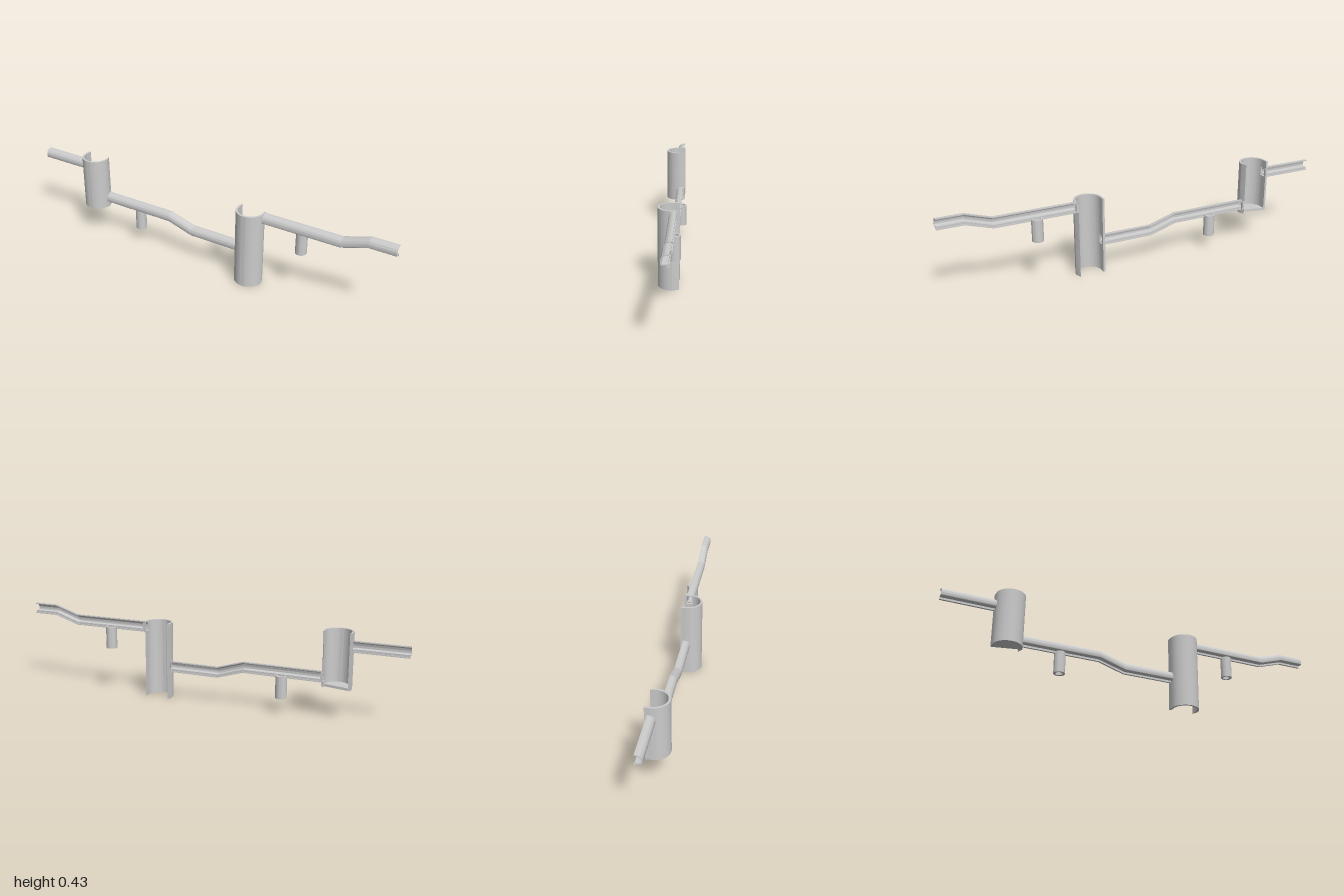
import * as THREE from 'three';
import { toCreasedNormals } from 'three/addons/utils/BufferGeometryUtils.js';

const material = new THREE.MeshStandardMaterial({ color: 0xcccccc });

function addMesh(parent, geometry, name) {
  const mesh = new THREE.Mesh(toCreasedNormals(geometry, 0.5), material);
  mesh.name = name;
  parent.add(mesh);
}

// Gutter cross-section, open to the back; drawn in (-z, y)
function gutterShape() {
  const s = new THREE.Shape();
  s.moveTo(0.03, 0.0275);
  s.lineTo(0.0225, 0.0275);
  s.absarc(0.0225, 0, 0.0275, Math.PI / 2, Math.PI, false);
  s.lineTo(-0.005, -0.01);
  s.quadraticCurveTo(-0.005, -0.0175, 0.002, -0.0175);
  s.lineTo(0.02, -0.0175);
  s.lineTo(0.02, -0.0275);
  s.lineTo(0.03, -0.0275);
  s.lineTo(0.03, -0.0225);
  s.lineTo(0.025, -0.0225);
  s.lineTo(0.025, -0.0125);
  s.lineTo(0.004, -0.0125);
  s.quadraticCurveTo(0, -0.0125, 0, -0.009);
  s.lineTo(0, 0);
  s.absarc(0.0225, 0, 0.0225, Math.PI, Math.PI / 2, true);
  s.lineTo(0.03, 0.0225);
  return s;
}

// Gutter along a path of [x, y] points, sheared to climb on sloping runs
function addGutter(parent, path, name) {
  const group = new THREE.Group();
  group.name = name;
  for (let i = 0; i < path.length - 1; i++) {
    const [x0, y0] = path[i], [x1, y1] = path[i + 1];
    const g = new THREE.ExtrudeGeometry(gutterShape(), { depth: x1 - x0, bevelEnabled: false, curveSegments: 14 });
    g.rotateY(Math.PI / 2);
    const p = g.attributes.position;
    for (let k = 0; k < p.count; k++) {
      p.setXY(k, p.getX(k) + x0, p.getY(k) + y0 + (p.getX(k) / (x1 - x0)) * (y1 - y0));
    }
    addMesh(group, g, 'gutterRun');
  }
  parent.add(group);
}

// Half-round tank, open to the back, z centre of the round part and sizes
const R = 0.072, WALL = 0.011, ZC = -0.012, ZBACK = -0.042, HOLE_FRONT = 0, HOLE_BACK = -0.03, HOLE_H = 0.022;

// Horizontal section in (x, z); holeSide -1 or 1 shortens that wall, 0 for none
function tankShape(holeSide) {
  const r = R - WALL;
  const a = Math.asin((HOLE_FRONT - ZC) / R), b = Math.asin((HOLE_FRONT - ZC) / r);
  const right = holeSide === 1, left = holeSide === -1;
  const s = new THREE.Shape();
  if (!right) s.moveTo(R, ZBACK);
  else s.moveTo(R * Math.cos(a), HOLE_FRONT);
  s.absarc(0, ZC, R, right ? a : 0, Math.PI - (left ? a : 0), false);
  if (!left) {
    s.lineTo(-R, ZBACK);
    s.lineTo(-r, ZBACK);
  }
  s.absarc(0, ZC, r, Math.PI - (left ? b : 0), right ? b : 0, true);
  if (!right) s.lineTo(r, ZBACK);
  return s;
}

function postShape(side) {
  const x0 = side > 0 ? R - WALL : -R, x1 = x0 + WALL;
  return new THREE.Shape([[x0, ZBACK], [x1, ZBACK], [x1, HOLE_BACK], [x0, HOLE_BACK]].map(p => new THREE.Vector2(...p)));
}

function addSlab(parent, shape, bottom, top, name) {
  const g = new THREE.ExtrudeGeometry(shape, { depth: top - bottom, bevelEnabled: false, curveSegments: 36 });
  g.rotateX(Math.PI / 2).translate(0, top, 0);
  addMesh(parent, g, name);
}

// holes: [side, centre height], from low to high
function addTank(parent, x, bottom, top, holes, hasFloor, name) {
  const group = new THREE.Group();
  group.name = name;
  group.position.x = x;
  let y = bottom;
  for (const [side, h] of holes) {
    addSlab(group, tankShape(0), y, h - HOLE_H, 'tankWall');
    addSlab(group, tankShape(side), h - HOLE_H, h + HOLE_H, 'wallAtInlet');
    addSlab(group, postShape(side), h - HOLE_H, h + HOLE_H, 'inletPost');
    y = h + HOLE_H;
  }
  addSlab(group, tankShape(0), y, top, 'tankWall');
  if (hasFloor) {
    const r = R - WALL / 2;
    const s = new THREE.Shape();
    s.moveTo(r, ZBACK);
    s.absarc(0, ZC, r, 0, Math.PI, false);
    s.lineTo(-r, ZBACK);
    addSlab(group, s, bottom, bottom + 0.012, 'tankFloor');
  }
  parent.add(group);
}

// Hollow peg sleeve under a gutter
function addSleeve(parent, x, bottom, top) {
  const pts = [[0.018, bottom], [0.028, bottom], [0.028, top], [0.018, top], [0.018, bottom]];
  const g = new THREE.LatheGeometry(pts.map(p => new THREE.Vector2(...p)), 40);
  g.translate(x, 0, -0.03);
  addMesh(parent, g, 'supportSleeve');
}

export function createModel() {
  const model = new THREE.Group();
  model.name = 'channelRun';

  addTank(model, -0.667, 0.16, 0.433, [[1, 0.209], [-1, 0.369]], true, 'upperTank');
  addTank(model, 0.267, 0, 0.39, [[-1, 0.168], [1, 0.363]], false, 'lowerTank');

  addGutter(model, [[-1, 0.369], [-0.735, 0.369]], 'inletGutter');
  addGutter(model, [[-0.6, 0.209], [-0.2, 0.209], [-0.065, 0.168], [0.2, 0.168]], 'middleGutter');
  addGutter(model, [[0.335, 0.363], [0.74, 0.363], [0.87, 0.404], [1, 0.404]], 'outletGutter');

  addSleeve(model, -0.4, 0.081, 0.192);
  addSleeve(model, 0.533, 0.233, 0.346);
  return model;
}
